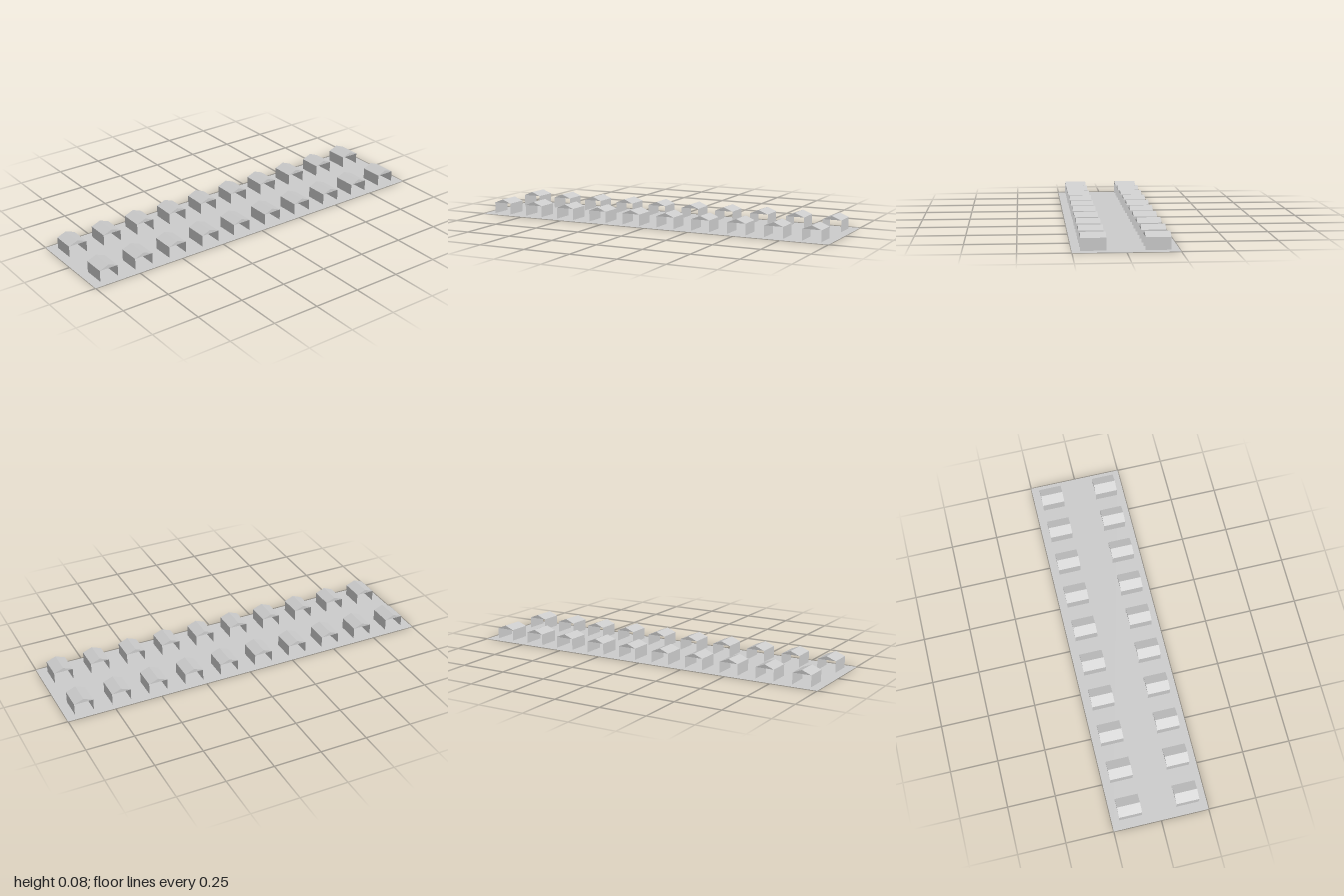
import * as THREE from 'three';

const WIDTH = 0.12, DEPTH = 0.1, WALL = 0.06, RIDGE = 0.08;

export function createModel() {
  const model = new THREE.Group();
  model.name = 'hutRows';
  const material = new THREE.MeshStandardMaterial({
    color: 0xcccccc, flatShading: true, side: THREE.DoubleSide,
  });

  const add = (parent, name, geometry, x = 0, y = 0, z = 0) => {
    const mesh = new THREE.Mesh(geometry, material);
    mesh.name = name;
    mesh.position.set(x, y, z);
    parent.add(mesh);
    return mesh;
  };

  // Flat rectangular ground sheet
  add(model, 'groundSheet', new THREE.PlaneGeometry(0.5, 2).rotateX(-Math.PI / 2));

  // Shared hut geometries: thin walls, sloping roof panels and gable triangles
  const wall = new THREE.PlaneGeometry(WIDTH, WALL);
  const rise = RIDGE - WALL, half = DEPTH / 2;
  const slope = new THREE.PlaneGeometry(WIDTH, Math.hypot(half, rise))
    .rotateX(-Math.atan2(half, rise));
  const gable = new THREE.ShapeGeometry(new THREE.Shape([
    new THREE.Vector2(-half, WALL),
    new THREE.Vector2(half, WALL),
    new THREE.Vector2(0, RIDGE),
  ])).rotateY(Math.PI / 2);

  // Hut with open ends below the gables
  const makeHut = () => {
    const hut = new THREE.Group();
    hut.name = 'hut';
    for (const s of [1, -1]) {
      const turn = s > 0 ? 0 : Math.PI;
      add(hut, 'wall', wall, 0, WALL / 2, s * half).rotation.y = turn;
      add(hut, 'roofSlope', slope, 0, (WALL + RIDGE) / 2, s * half / 2).rotation.y = turn;
      add(hut, 'gable', gable, s * WIDTH / 2).rotation.y = turn;
    }
    return hut;
  };

  // Two rows of ten huts
  for (const x of [-0.15, 0.15]) {
    for (let i = 0; i < 10; i++) {
      const hut = makeHut();
      hut.position.set(x, 0, -0.9 + i * 0.2);
      model.add(hut);
    }
  }
  return model;
}
